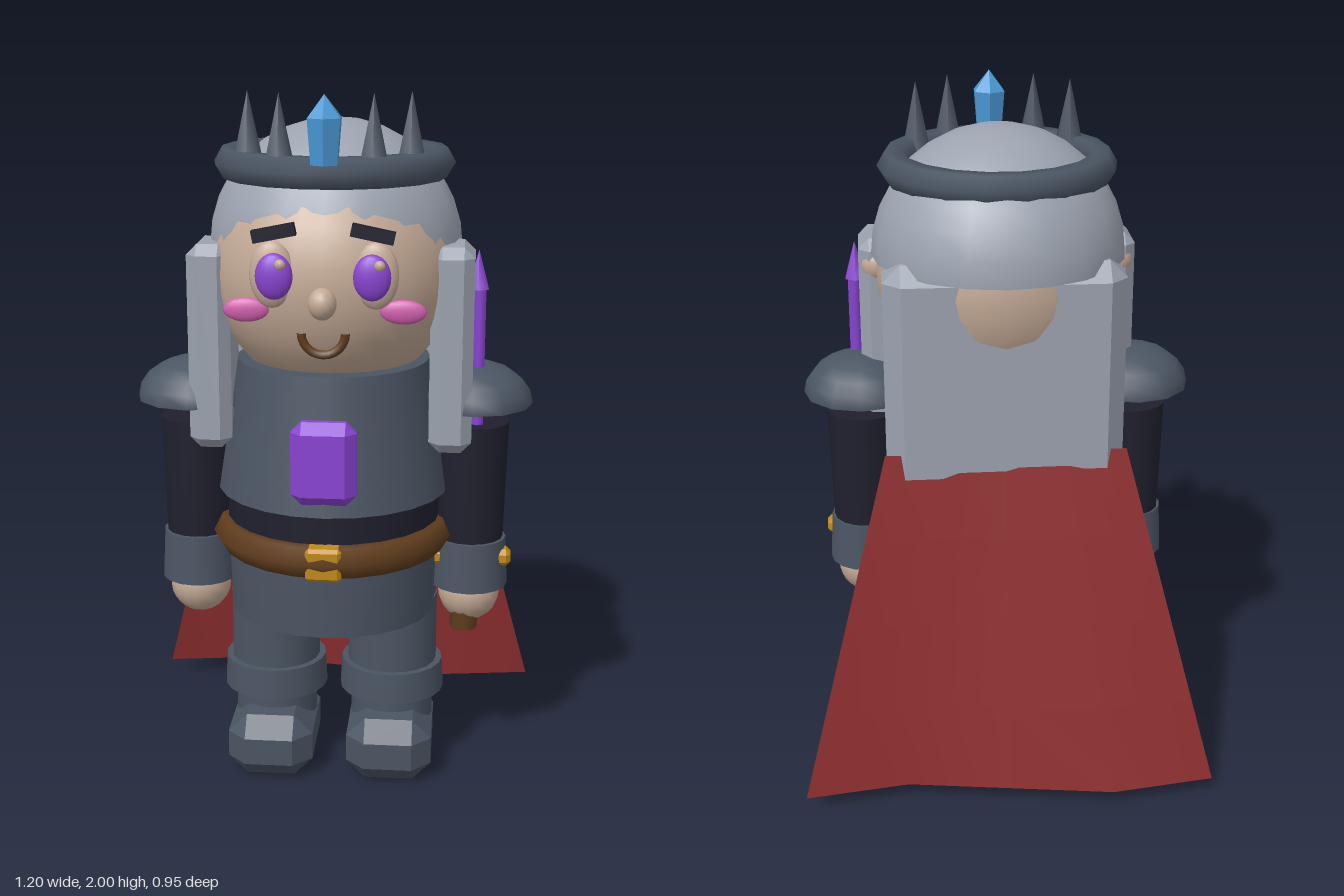
import * as THREE from 'three';
import { ConvexGeometry } from 'three/addons/geometries/ConvexGeometry.js';

const mat = (name, color) => {
  const m = new THREE.MeshStandardMaterial({ color });
  m.name = name;
  return m;
};

// Box with cut edges and corners
function chamferBox(w, h, d, c) {
  const p = [];
  for (const x of [-1, 1]) for (const y of [-1, 1]) for (const z of [-1, 1]) {
    const X = x * w / 2, Y = y * h / 2, Z = z * d / 2;
    p.push(new THREE.Vector3(X, Y - y * c, Z - z * c));
    p.push(new THREE.Vector3(X - x * c, Y, Z - z * c));
    p.push(new THREE.Vector3(X - x * c, Y - y * c, Z));
  }
  return new ConvexGeometry(p);
}

const tube = (top, bottom, h, sides = 20) => new THREE.CylinderGeometry(top, bottom, h, sides);
const ball = (x, y, z, w = 16, h = 12) => new THREE.SphereGeometry(1, w, h).scale(x, y, z);

export function createModel() {
  const armor = mat('slate armor', 0x4b5563);
  const dark = mat('dark cloth', 0x1f202d);
  const hair = mat('grey hair', 0x9ca3af);
  const skin = mat('skin', 0xc4aa96);
  const red = mat('red cape', 0x8f2f30);
  const purple = mat('purple crystal', 0x8a44d2);
  const blue = mat('blue crystal', 0x4a98d4);
  const gold = mat('gold', 0xc08a1a);
  const brown = mat('brown leather', 0x5f3c1c);
  const pink = mat('pink blush', 0xd160ad);
  red.side = THREE.DoubleSide;

  const model = new THREE.Group();
  const add = (name, geo, material, x = 0, y = 0, z = 0) => {
    const m = new THREE.Mesh(geo, material);
    m.name = name;
    m.position.set(x, y, z);
    model.add(m);
    return m;
  };
  const C = 0.08; // body axis in z

  // Torso
  add('chestArmor', tube(0.275, 0.335, 0.38, 24).scale(1, 1, 1.01), armor, 0, 1.06, C);
  add('shirt', tube(0.31, 0.31, 0.16, 24), dark, 0, 0.81, C);
  add('skirtArmor', tube(0.312, 0.302, 0.24, 24), armor, 0, 0.62, 0.075);
  add('belt', new THREE.TorusGeometry(0.308, 0.05, 6, 24).rotateX(Math.PI / 2).scale(0.985, 1, 1.03), brown, 0, 0.74, C);
  add('beltBuckle', chamferBox(0.1, 0.095, 0.06, 0.01), gold, 0, 0.737, 0.408);
  add('chestCrystal', chamferBox(0.18, 0.235, 0.08, 0.03), purple, 0, 1.022, 0.398);

  // Head and face
  add('head', ball(0.35, 0.35, 0.35, 28, 20), skin, 0, 1.5, 0.06);
  add('nose', ball(0.038, 0.043, 0.04), skin, 0, 1.467, 0.43);
  add('mouth', new THREE.TorusGeometry(0.059, 0.012, 6, 12, Math.PI).rotateZ(Math.PI), brown, 0, 1.383, 0.402);
  for (const s of [-1, 1]) {
    add('ear', ball(0.05, 0.05, 0.04), skin, s * 0.34, 1.51, 0.065);
    add('eye', ball(0.06, 0.09, 0.027), skin, s * 0.138, 1.535, 0.383);
    add('iris', ball(0.05, 0.062, 0.025), purple, s * 0.129, 1.535, 0.413);
    add('eyeGlint', ball(0.015, 0.015, 0.012, 8, 6), skin, s * 0.13 + 0.02, 1.57, 0.437);
    add('eyebrow', new THREE.BoxGeometry(0.115, 0.033, 0.028), dark, s * 0.13, 1.648, 0.402).rotation.z = -s * 0.2;
    add('cheek', ball(0.062, 0.033, 0.016), pink, s * 0.21, 1.437, 0.372);
  }

  // Hair
  const cap = new THREE.SphereGeometry(0.36, 20, 8, 0, Math.PI * 2, 0, Math.PI / 2);
  add('hairCap', cap, hair, 0, 1.555, 0.02);
  add('hairCapUnderside', new THREE.CircleGeometry(0.36, 20).rotateX(Math.PI / 2), hair, 0, 1.555, 0.02);
  add('backHair', chamferBox(0.67, 0.69, 0.2, 0.05), hair, 0, 1.245, -0.16);
  for (const s of [-1, 1])
    add('sideLock', chamferBox(0.12, 0.58, 0.21, 0.03), hair, s * 0.337, 1.295, 0.14);

  // Crown
  add('crownBand', new THREE.TorusGeometry(0.29, 0.047, 6, 18).rotateX(Math.PI / 2), armor, 0, 1.797, 0.058);
  for (const s of [-1, 1]) for (const [x, z] of [[0.22, 0.212], [0.125, 0.305]])
    add('crownSpike', new THREE.ConeGeometry(0.046, 0.2, 6), armor, s * x, 1.9, z);
  const crystal = [[0, 1.815], [0.04, 1.82], [0.05, 1.94], [0, 2]].map(([r, y]) => new THREE.Vector2(r, y));
  const crystalGeo = new THREE.LatheGeometry(crystal, 6).toNonIndexed();
  crystalGeo.computeVertexNormals();
  add('crownCrystal', crystalGeo, blue, 0, 0, 0.36);

  // Arms
  const pad = new THREE.SphereGeometry(0.17, 12, 5, 0, Math.PI * 2, 0, Math.PI / 2).scale(1, 0.71, 1);
  for (const s of [-1, 1]) {
    const x = s * 0.4;
    add('shoulderPad', pad, armor, x, 1.12, C);
    add('shoulderPadUnderside', new THREE.CircleGeometry(0.17, 12).rotateX(Math.PI / 2), armor, x, 1.12, C);
    add('sleeve', tube(0.105, 0.095, 0.38, 16), dark, x, 0.875, C);
    add('cuff', tube(0.104, 0.112, 0.145, 16), armor, x, 0.645, C + 0.004);
    add('hand', ball(0.09, 0.09, 0.09), skin, x, 0.547, C + 0.004);
  }

  // Sword held in the left hand
  add('swordGrip', tube(0.04, 0.04, 0.2, 8), brown, 0.387, 0.54, 0.115);
  add('swordGuard', chamferBox(0.24, 0.05, 0.06, 0.014), gold, 0.4, 0.665, 0.115);
  add('swordBlade', tube(0.02, 0.02, 0.8, 6), purple, 0.412, 1.07, 0.118);
  add('swordTip', new THREE.ConeGeometry(0.033, 0.11, 6), purple, 0.407, 1.51, 0.118);

  // Legs
  for (const s of [-1, 1]) {
    const x = s * 0.175;
    add('thigh', tube(0.132, 0.132, 0.22), armor, x, 0.42, 0.075);
    add('kneeGuard', tube(0.15, 0.155, 0.09), armor, x, 0.278, 0.077);
    add('shin', tube(0.122, 0.122, 0.16), armor, x, 0.19, 0.075);
    add('boot', chamferBox(0.25, 0.19, 0.355, 0.055), armor, x, 0.095, 0.123);
  }

  // Cape: flares and ripples toward the hem
  const capeGeo = new THREE.PlaneGeometry(2, 1, 4, 4);
  const p = capeGeo.attributes.position;
  for (let i = 0; i < p.count; i++) {
    const u = p.getX(i), t = 0.5 - p.getY(i);
    const ripple = 0.044 * Math.sin(u * Math.PI) * t;
    p.setXYZ(i, u * (0.34 + 0.26 * t), 1.05 - 1.005 * t, -0.25 - 0.184 * t + ripple);
  }
  capeGeo.computeVertexNormals();
  add('cape', capeGeo, red);

  return model;
}
